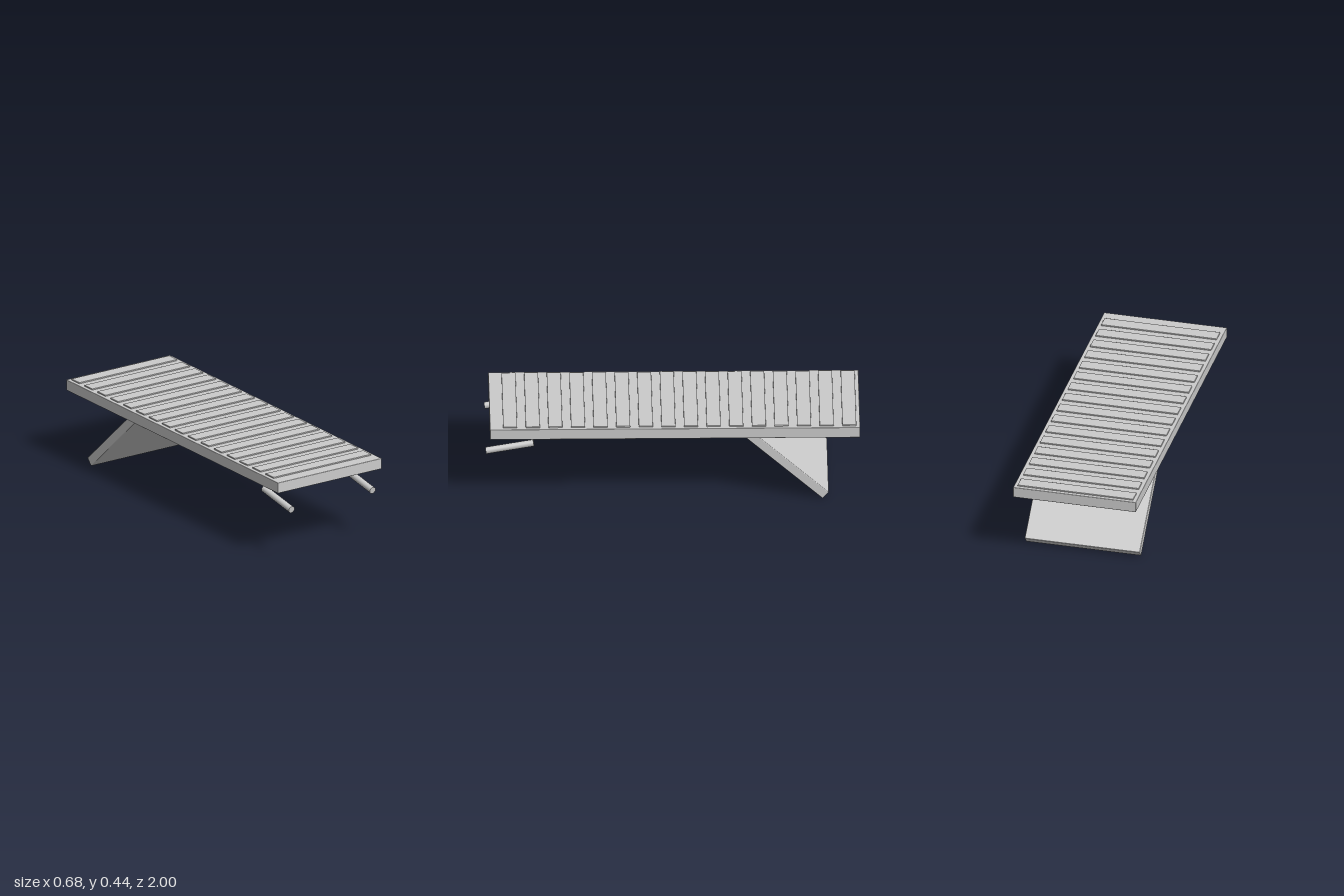
import * as THREE from 'three';
import { RoundedBoxGeometry } from 'three/addons/geometries/RoundedBoxGeometry.js';

const material = new THREE.MeshStandardMaterial({ color: 0xcccccc });

export function createModel() {
  const model = new THREE.Group();

  const add = (parent, name, geometry, x, y, z) => {
    const mesh = new THREE.Mesh(geometry, material);
    mesh.name = name;
    mesh.position.set(x, y, z);
    parent.add(mesh);
    return mesh;
  };

  // Long flat deck
  add(model, 'deck', new RoundedBoxGeometry(0.676, 0.06, 1.976, 2, 0.003), 0, 0.41, -0.012);

  // Evenly spaced raised slats across the deck
  const slats = new THREE.Group();
  slats.name = 'slats';
  model.add(slats);
  const slatGeometry = new RoundedBoxGeometry(0.636, 0.02, 0.075, 1, 0.002);
  for (let i = 0; i < 16; i++) {
    add(slats, 'slat' + (i + 1), slatGeometry, 0, 0.437, 0.868 - i * 0.1207);
  }

  // Slanted support board, running from under the deck down to the ground at the back
  const length = 0.55, thickness = 0.05;
  const angle = Math.atan2(0.367, 0.41);
  const board = add(model, 'supportBoard',
    new RoundedBoxGeometry(0.634, thickness, length, 2, 0.004), 0, 0.206, -0.612);
  board.rotation.x = -angle;

  // Pair of slightly tilted pegs below the front end
  const front = new THREE.Vector3(0, 0.279, 0.997);
  const back = new THREE.Vector3(0, 0.323, 0.742);
  const axis = back.clone().sub(front);
  const pegGeometry = new THREE.CylinderGeometry(0.0185, 0.0185, axis.length(), 24);
  const middle = front.clone().add(back).multiplyScalar(0.5);
  for (const side of [-1, 1]) {
    const peg = add(model, side > 0 ? 'leftPeg' : 'rightPeg', pegGeometry,
      side * 0.264, middle.y, middle.z);
    peg.quaternion.setFromUnitVectors(new THREE.Vector3(0, 1, 0), axis.clone().normalize());
  }

  return model;
}
